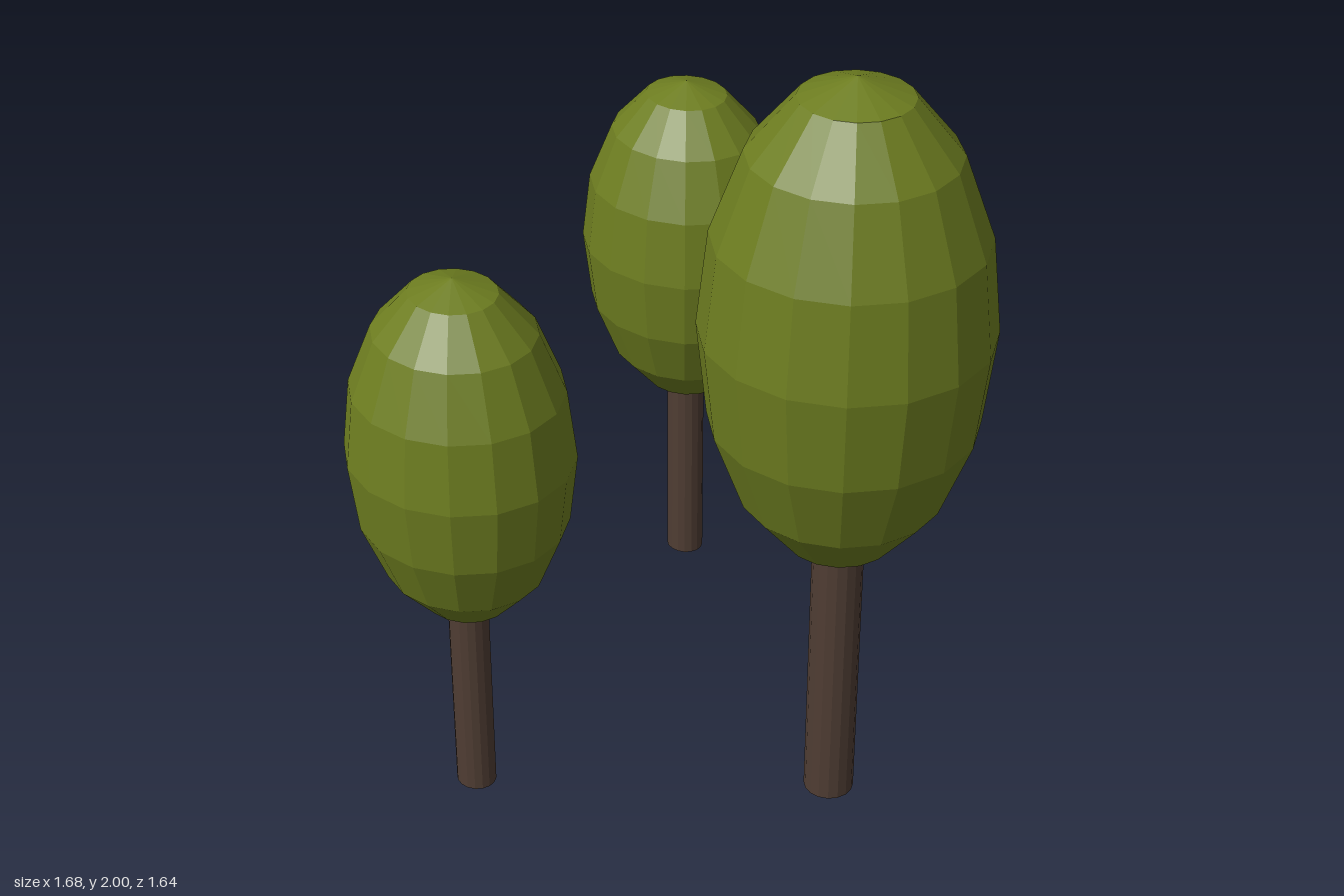
import * as THREE from 'three';

export function createModel() {
  const group = new THREE.Group();
  group.name = 'trees';
  const bark = new THREE.MeshStandardMaterial({ color: 0x4f3d33, flatShading: true });
  const leaves = new THREE.MeshStandardMaterial({ color: 0x6d7d20, flatShading: true });

  // Faceted egg-shaped crown and straight trunk, shared by all trees
  const crownGeometry = new THREE.SphereGeometry(1, 16, 8)
    .scale(0.35, 0.635, 0.35)
    .translate(0, 1.365, 0);
  const trunkGeometry = new THREE.CylinderGeometry(0.0635, 0.0635, 0.85, 16)
    .translate(0, 0.425, 0);

  function addTree(name, x, z, scale) {
    const tree = new THREE.Group();
    tree.name = name;
    const trunk = new THREE.Mesh(trunkGeometry, bark);
    trunk.name = 'trunk';
    const crown = new THREE.Mesh(crownGeometry, leaves);
    crown.name = 'crown';
    tree.add(trunk, crown);
    tree.position.set(x, 0, z);
    tree.scale.set(...scale);
    group.add(tree);
  }

  // One tall tree and two smaller, slightly flattened ones
  const small = [0.84, 0.74, 0.77];
  addTree('tallTree', 0.49, -0.115, [1, 1, 1]);
  addTree('backSmallTree', -0.55, -0.55, small);
  addTree('frontSmallTree', -0.13, 0.547, small);

  return group;
}
